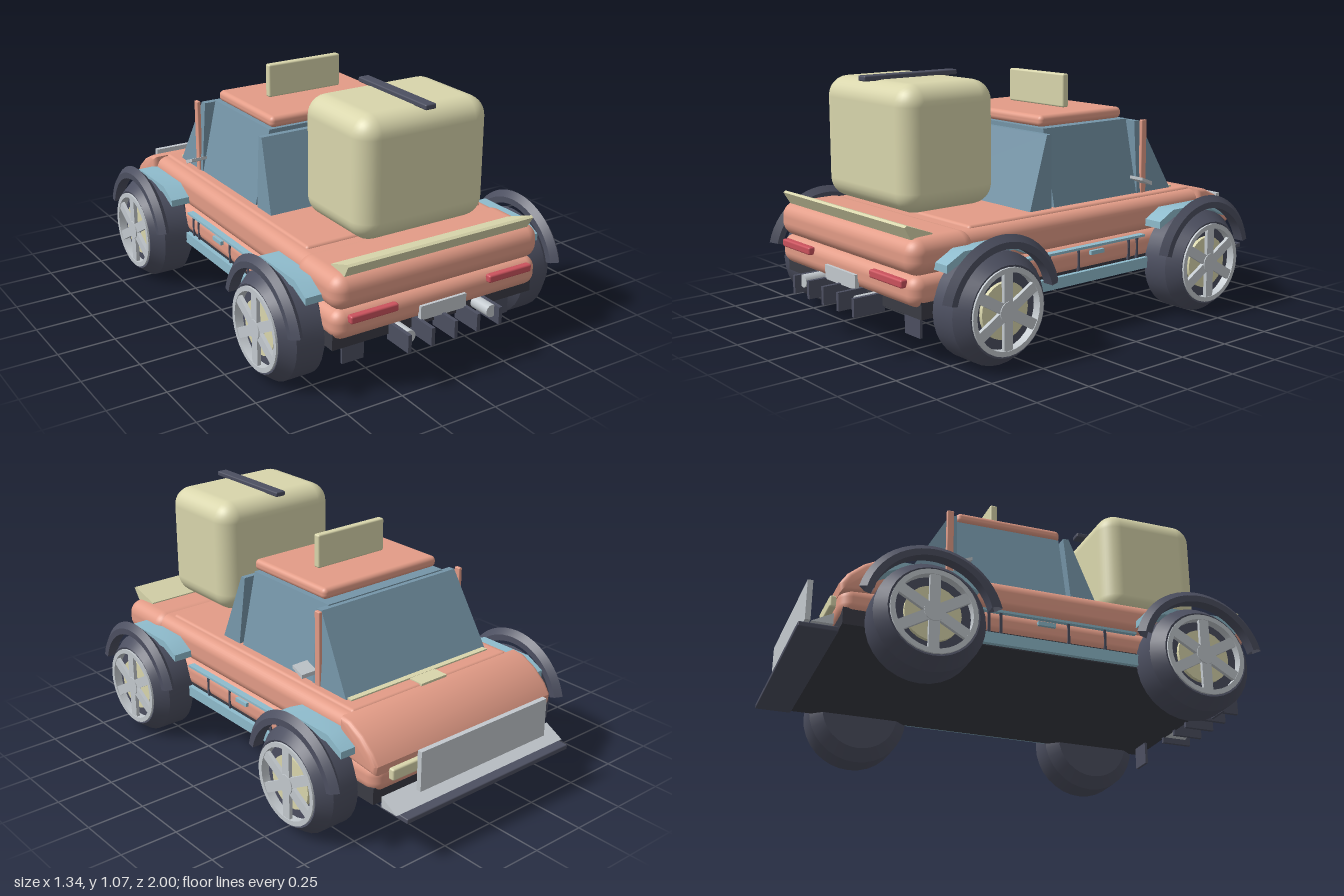
import * as THREE from 'three';
import { toCreasedNormals } from 'three/addons/utils/BufferGeometryUtils.js';
import { RoundedBoxGeometry } from 'three/addons/geometries/RoundedBoxGeometry.js';

const mat = (name, hex, side = THREE.FrontSide) => {
  const m = new THREE.MeshStandardMaterial({ color: hex, side });
  m.name = name;
  return m;
};

export function createModel() {
  const paint = mat('salmonPaint', 0xe39c87);
  const khaki = mat('khaki', 0xd9d6ac);
  const glass = mat('slateGlass', 0x7595a8);
  const blue = mat('paleBlueTrim', 0x8fbccd);
  const dark = mat('darkRubber', 0x4c4f60, THREE.DoubleSide);
  const black = mat('chassisBlack', 0x3a3b44);
  const grey = mat('lightGrey', 0xc3c9ce);
  const red = mat('redLens', 0xcb525d);

  const car = new THREE.Group();
  car.name = 'car';
  const add = (name, geo, m, parent = car) => {
    const mesh = new THREE.Mesh(geo, m);
    mesh.name = name;
    parent.add(mesh);
    return mesh;
  };
  // Boxes are given by their lower and upper limits on each axis
  const box = (name, m, x0, x1, y0, y1, z0, z1, r = 0, parent = car) => {
    const s = [x1 - x0, y1 - y0, z1 - z0];
    const geo = r ? new RoundedBoxGeometry(...s, 4, r) : new THREE.BoxGeometry(...s);
    geo.translate((x0 + x1) / 2, (y0 + y1) / 2, (z0 + z1) / 2);
    return add(name, geo, m, parent);
  };
  // Side profile of [z, y] points, extruded across x
  const profile = (name, m, pts, x0, x1, bevel = 0, parent = car) => {
    const shape = new THREE.Shape(pts.map(([z, y]) => new THREE.Vector2(-z, y)));
    const geo = new THREE.ExtrudeGeometry(shape, {
      depth: x1 - x0 - 2 * bevel, bevelEnabled: bevel > 0, bevelThickness: bevel,
      bevelSize: bevel, bevelOffset: -bevel, bevelSegments: 4,
    });
    geo.rotateY(Math.PI / 2).translate(x0 + bevel, 0, 0);
    return add(name, toCreasedNormals(geo, 0.6), m, parent);
  };
  // Narrows x towards the top (or along z) by a rule
  const taper = (mesh, axis, a, b, k) => {
    const p = mesh.geometry.attributes.position;
    for (let i = 0; i < p.count; i++) {
      const t = ((axis === 'y' ? p.getY(i) : p.getZ(i)) - a) / (b - a);
      p.setX(i, p.getX(i) * (1 + (k - 1) * t));
    }
    mesh.geometry.computeVertexNormals();
  };
  // [radius, x] section revolved about the x axis
  const revolve = (pts, seg, start = 0, len = Math.PI * 2) => toCreasedNormals(
    new THREE.LatheGeometry(pts.map(([r, x]) => new THREE.Vector2(r, x)), seg, start, len)
      .rotateZ(-Math.PI / 2), 0.5);

  // Body shell
  box('chassis', black, -0.485, 0.485, 0.2, 0.27, -0.84, 0.87);
  box('lowerBody', paint, -0.492, 0.492, 0.24, 0.365, -0.855, 0.905, 0.05);
  box('upperBody', paint, -0.48, 0.48, 0.355, 0.5, -0.7, 0.7, 0.05);
  box('tailDeck', paint, -0.495, 0.495, 0.36, 0.505, 0.605, 0.91, 0.06);
  box('centreDeck', paint, -0.43, 0.43, 0.44, 0.51, -0.655, 0.6, 0.015);
  profile('hoodNose', paint, [[-0.65, 0.35], [-0.65, 0.505], [-0.7, 0.5], [-0.77, 0.465],
    [-0.83, 0.415], [-0.86, 0.37], [-0.855, 0.33]].reverse(), -0.495, 0.495, 0.02);
  box('centreStripe', khaki, -0.07, 0.07, 0.505, 0.515, -0.66, 0.45);
  box('cowlStrip', khaki, -0.38, 0.38, 0.505, 0.516, -0.59, -0.56);

  // Cabin
  const core = box('sideWindows', glass, -0.388, 0.388, 0.5, 0.83, -0.37, 0.12);
  taper(core, 'y', 0.5, 0.83, 0.81);
  const front = profile('windscreen', glass,
    [[-0.57, 0.505], [-0.36, 0.505], [-0.36, 0.825], [-0.39, 0.825]], -0.39, 0.39);
  taper(front, 'y', 0.505, 0.825, 0.94);
  const back = profile('rearWindow', glass,
    [[0.14, 0.505], [0.257, 0.505], [0.145, 0.812], [0.12, 0.812]], -0.39, 0.39);
  taper(back, 'y', 0.505, 0.812, 0.94);
  box('roof', paint, -0.31, 0.31, 0.835, 0.883, -0.34, 0.13, 0.02);
  box('roofSign', khaki, -0.18, 0.18, 0.885, 1.03, -0.145, -0.112, 0.008);

  // Cargo pack and spoiler
  box('cargoPack', khaki, -0.305, 0.305, 0.545, 1.05, 0.345, 0.795, 0.085);
  box('packStrap', dark, -0.025, 0.025, 1.046, 1.068, 0.34, 0.795, 0.006);
  const spoiler = profile('spoiler', khaki,
    [[0.775, 0.5], [0.88, 0.5], [0.91, 0.55], [0.9, 0.557], [0.775, 0.51]], -0.43, 0.43);
  taper(spoiler, 'z', 0.775, 0.91, 1.03);

  // Rear fittings
  box('rearPlate', grey, -0.11, 0.11, 0.245, 0.305, 0.9, 0.918);
  for (let i = -2; i <= 2; i++) {
    box('diffuserFin', dark, i * 0.11 - 0.008, i * 0.11 + 0.008, 0.175, 0.25, 0.86, 1);
  }

  // Front fittings
  box('splitter', dark, -0.455, 0.455, 0.178, 0.2, -1, -0.845, 0.005);
  profile('airDam', grey, [[-0.955, 0.2], [-0.87, 0.2], [-0.87, 0.245]], -0.47, 0.47);
  box('bumperPlate', grey, -0.35, 0.35, 0.26, 0.43, -0.957, -0.935);
  box('grille', dark, -0.14, 0.14, 0.26, 0.345, -0.893, -0.845);

  // Parts repeated on both sides
  for (const s of [1, -1]) {
    const half = new THREE.Group();
    half.name = s > 0 ? 'leftSide' : 'rightSide';
    half.scale.x = s;
    car.add(half);

    box('tailLight', red, 0.22, 0.437, 0.32, 0.353, 0.895, 0.926, 0.008, half);
    box('headlight', khaki, 0.235, 0.42, 0.295, 0.345, -0.88, -0.84, 0.008, half);
    box('mudFlap', dark, 0.31, 0.41, 0.1, 0.22, 0.812, 0.824, 0, half);
    const pipe = new THREE.CylinderGeometry(0.027, 0.027, 0.1, 16).rotateX(Math.PI / 2);
    add('exhaust', pipe.translate(0.2, 0.225, 0.92), grey, half);
    box('aerialPost', paint, 0.378, 0.395, 0.5, 0.83, -0.41, -0.38, 0.004, half);
    profile('mirror', grey, [[-0.38, 0.553], [-0.32, 0.58], [-0.32, 0.593], [-0.38, 0.57]]
      .reverse(), 0.385, 0.46, 0, half);

    // Sill, door trim and handle
    box('sill', blue, 0.46, 0.505, 0.205, 0.252, -0.36, 0.4, 0, half);
    box('beltTrim', blue, 0.47, 0.502, 0.345, 0.355, -0.3, 0.38, 0, half);
    for (const z of [0.24, 0.08, -0.21, -0.26]) {
      box('doorSeam', dark, 0.485, 0.496, 0.255, 0.345, z - 0.005, z + 0.005, 0, half);
    }
    box('doorHandle', blue, 0.49, 0.505, 0.315, 0.332, -0.055, 0.02, 0, half);

    for (const z of [0.6, -0.535]) {
      // Flat fender shelf
      const shelf = [[-0.21, 0.385], [-0.21, 0.415], [-0.13, 0.457], [0.13, 0.457],
        [0.21, 0.415], [0.21, 0.385], [0.12, 0.425], [-0.12, 0.425]];
      profile('fender', blue, shelf.map(([a, b]) => [a + z, b]), 0.44, 0.565, 0, half);

      const wheel = new THREE.Group();
      wheel.name = z > 0 ? 'rearWheel' : 'frontWheel';
      wheel.position.set(0, 0.222, z);
      half.add(wheel);
      add('tyre', revolve([[0, 0.447], [0.17, 0.447], [0.222, 0.49], [0.222, 0.61],
        [0.18, 0.665], [0.165, 0.66], [0.165, 0.63], [0, 0.63]], 32), dark, wheel);
      add('rimRing', revolve([[0.152, 0.635], [0.172, 0.635], [0.172, 0.671],
        [0.152, 0.671], [0.152, 0.635]], 32), grey, wheel);
      add('brakeDisc', new THREE.CylinderGeometry(0.112, 0.112, 0.02, 24)
        .rotateZ(-Math.PI / 2).translate(0.637, 0, 0), khaki, wheel);
      add('hub', new THREE.CylinderGeometry(0.042, 0.042, 0.03, 16)
        .rotateZ(-Math.PI / 2).translate(0.657, 0, 0), grey, wheel);
      for (let i = 0; i < 3; i++) {
        add('spokePair', new THREE.BoxGeometry(0.016, 0.315, 0.042)
          .translate(0.66, 0, 0).rotateX(i * Math.PI / 3), grey, wheel);
      }
      // Ridged arch flare over the tyre
      add('archFlare', revolve([[0.238, 0.605], [0.265, 0.605], [0.291, 0.63],
        [0.265, 0.655], [0.238, 0.655], [0.238, 0.605]], 24,
      Math.PI * 1.5 - 1.32, 2.64), dark, wheel);
    }
  }
  return car;
}
